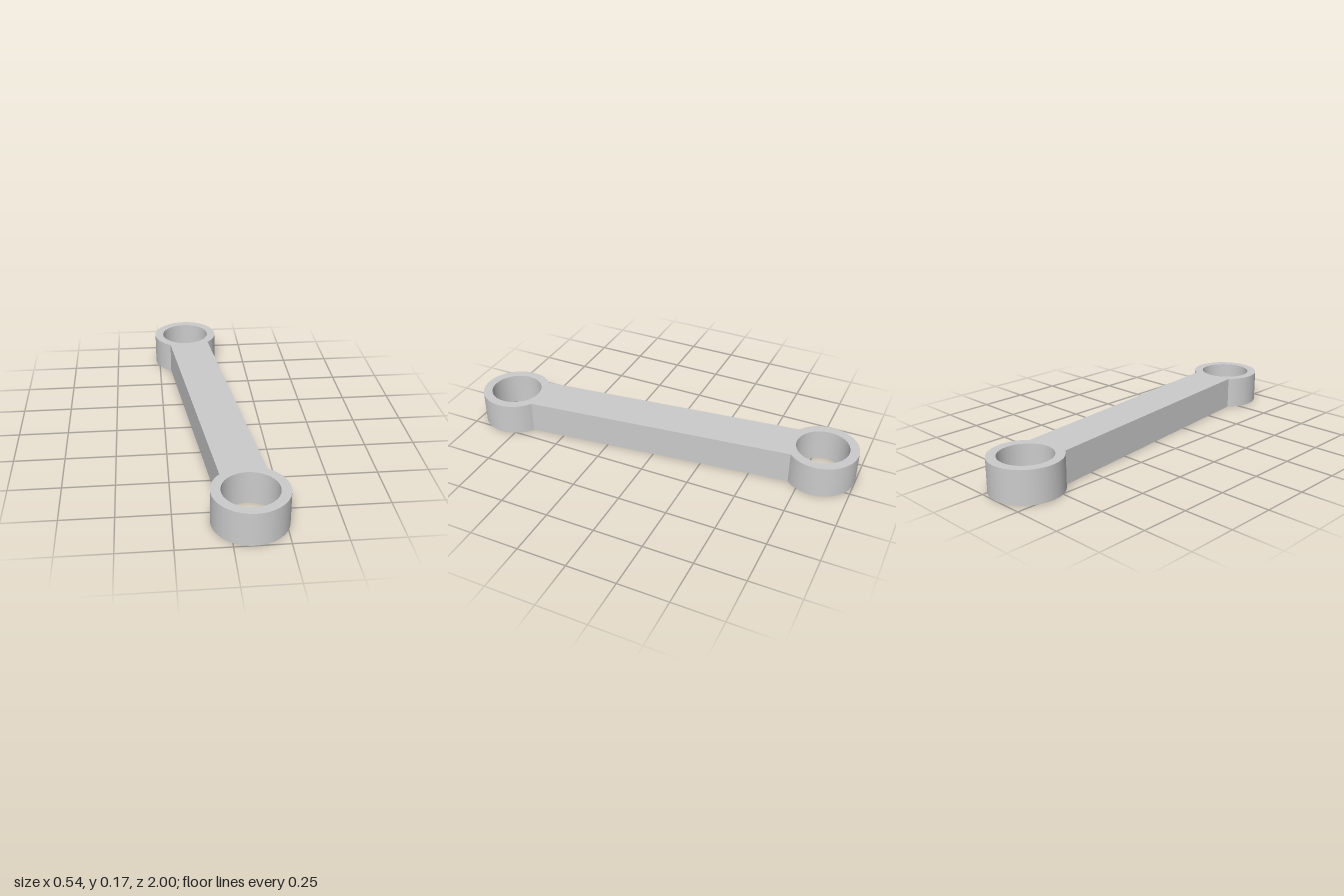
import * as THREE from 'three';
import { toCreasedNormals } from 'three/addons/utils/BufferGeometryUtils.js';

const HEIGHT = 0.166;
const EYE = { x: 0.093, z: 0.823 }; // centre of the front eye; the rear one is opposite
const OUTER = 0.177;
const BORE = 0.131;
const HALF_WIDTH = 0.11;

export function createModel() {
  const group = new THREE.Group();
  group.name = 'connectingLink';

  const reach = Math.hypot(EYE.x, EYE.z);
  const neck = Math.asin(HALF_WIDTH / OUTER); // half angle where the bar meets an eye

  // Outline: two round eyes joined by the straight sides of the bar
  const outline = new THREE.Shape();
  for (const side of [1, -1]) {
    const inward = -side * Math.PI / 2;
    outline.absarc(0, side * reach, OUTER, inward + neck, inward + 2 * Math.PI - neck, false);
    // Through bore of this eye
    const bore = new THREE.Path();
    bore.absarc(0, side * reach, BORE, 0, 2 * Math.PI, true);
    outline.holes.push(bore);
  }
  outline.closePath();

  const solid = new THREE.ExtrudeGeometry(outline, {
    depth: HEIGHT, bevelEnabled: false, curveSegments: 72,
  });
  solid.rotateX(-Math.PI / 2); // lay flat on the ground
  solid.rotateY(Math.atan2(EYE.x, EYE.z)); // skew the bar toward the front left

  const link = new THREE.Mesh(
    toCreasedNormals(solid, 0.5),
    new THREE.MeshStandardMaterial({ color: 0xcccccc }),
  );
  link.name = 'linkBarWithEyes';
  group.add(link);
  return group;
}
